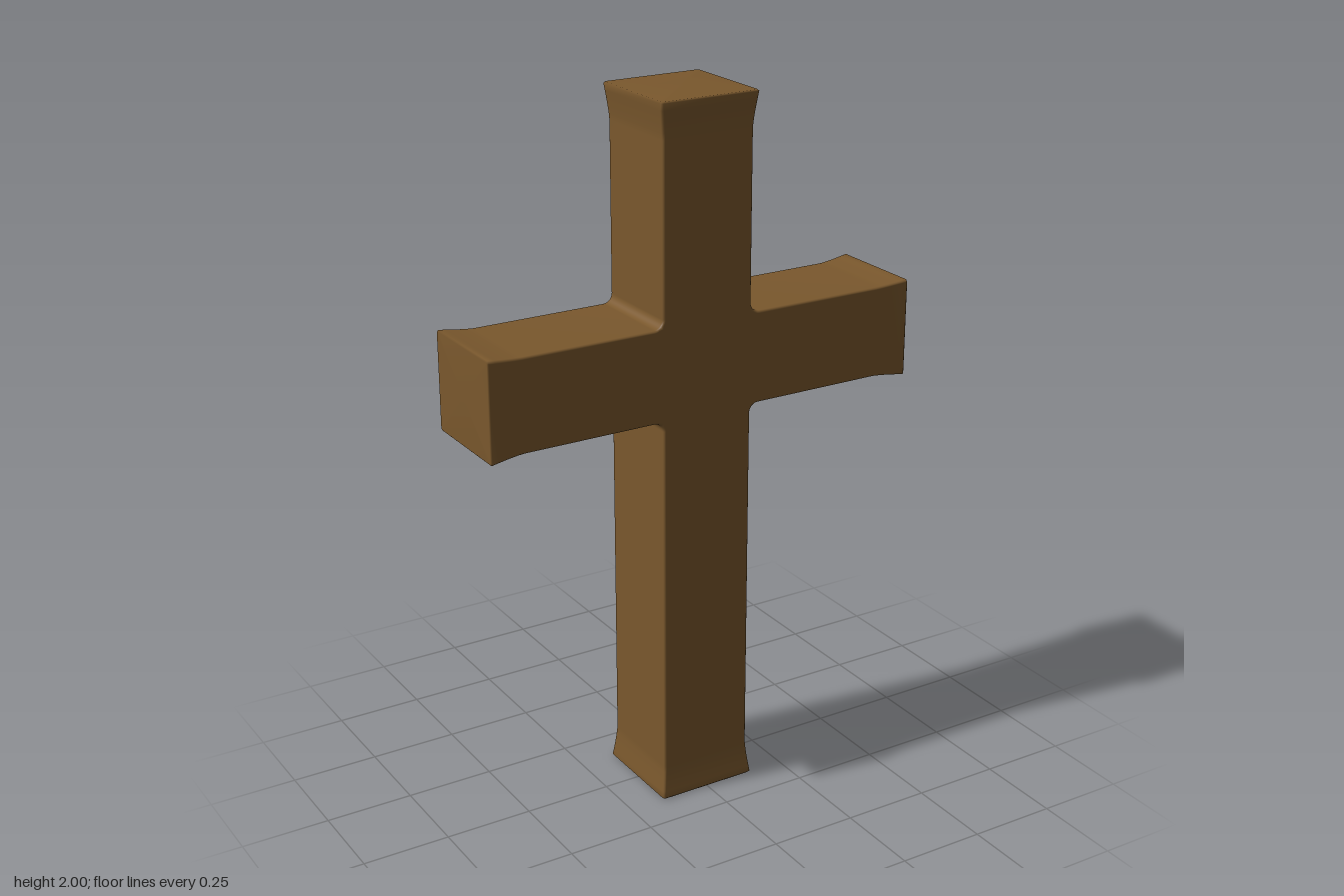
import * as THREE from 'three';
import { mergeGeometries, mergeVertices } from 'three/addons/utils/BufferGeometryUtils.js';

const DEPTH = 0.137;   // half depth of the beams
const POST = 0.136;    // half width of the upright
const BAR = 0.13;      // half height of the crossbar
const CROSS_Y = 1.273; // height of the crossing
const FILLET = 0.026;
const EDGE = 0.05;     // edge rounding, as a fraction of the half width

// Rounded square of half size 1, with midpoints at the front and back
function unitSection() {
  const arc = [0, 1, 2, 3].map((i) => {
    const a = (i / 3) * Math.PI / 2;
    return [1 - EDGE + EDGE * Math.sin(a), 1 - EDGE + EDGE * Math.cos(a)];
  });
  const right = [...arc, ...arc.slice().reverse().map(([u, w]) => [u, -w])];
  const left = right.slice().reverse().map(([u, w]) => [-u, w]);
  return [[0, 1], ...right, [0, -1], ...left];
}

// One arm along +y from the mitred crossing to its flared end
function arm(half, otherHalf, length, flare, angle) {
  const stations = []; // [distance, half width, half depth]
  for (let i = 0; i <= 4; i++) {
    const a = Math.PI / 4 * (1 + i / 4);
    stations.push([
      otherHalf + FILLET * (1 - Math.cos(a)),
      half + FILLET * (1 - Math.sin(a)),
      DEPTH,
    ]);
  }
  for (let i = 0; i <= 5; i++) {
    const f = i / 5;
    const grow = flare * Math.pow(f, 1.3);
    stations.push([length - 0.1 + 0.096 * f, half + grow, DEPTH + grow]);
  }
  // Softened rim of the end face
  stations.push([length, half + flare - 0.004, DEPTH + flare - 0.004]);

  const section = unitSection();
  const n = section.length;
  const pos = [];
  const index = [];
  stations.forEach(([t, a, d], s) => {
    for (const [u, w] of section) pos.push(u * a, s === 0 ? Math.abs(u) * t : t, w * d);
    if (s === 0) return;
    for (let j = 0; j < n; j++) {
      const k = (j + 1) % n;
      const lo = (s - 1) * n;
      const hi = s * n;
      index.push(lo + j, lo + k, hi + k, lo + j, hi + k, hi + j);
    }
  });
  // End face
  const last = (stations.length - 1) * n;
  const centre = pos.length / 3;
  pos.push(0, length, 0);
  for (let j = 0; j < n; j++) index.push(centre, last + j, last + (j + 1) % n);

  const geo = new THREE.BufferGeometry();
  geo.setAttribute('position', new THREE.Float32BufferAttribute(pos, 3));
  geo.setIndex(index);
  return geo.rotateZ(angle);
}

export function createModel() {
  const wood = new THREE.MeshStandardMaterial({ color: 0x7a582d });
  wood.name = 'brown wood';

  // Four arms welded at the crossing into one smooth body
  const arms = [
    arm(POST, BAR, 2 - CROSS_Y, 0.011, 0),
    arm(POST, BAR, CROSS_Y, 0.011, Math.PI),
    arm(BAR, POST, 0.648, 0.01, Math.PI / 2),
    arm(BAR, POST, 0.648, 0.01, -Math.PI / 2),
  ];
  const body = mergeVertices(mergeGeometries(arms), 1e-4);
  body.computeVertexNormals();

  const cross = new THREE.Mesh(body, wood);
  cross.name = 'cross';
  cross.position.y = CROSS_Y;

  const group = new THREE.Group();
  group.name = 'wooden cross';
  group.add(cross);
  return group;
}
